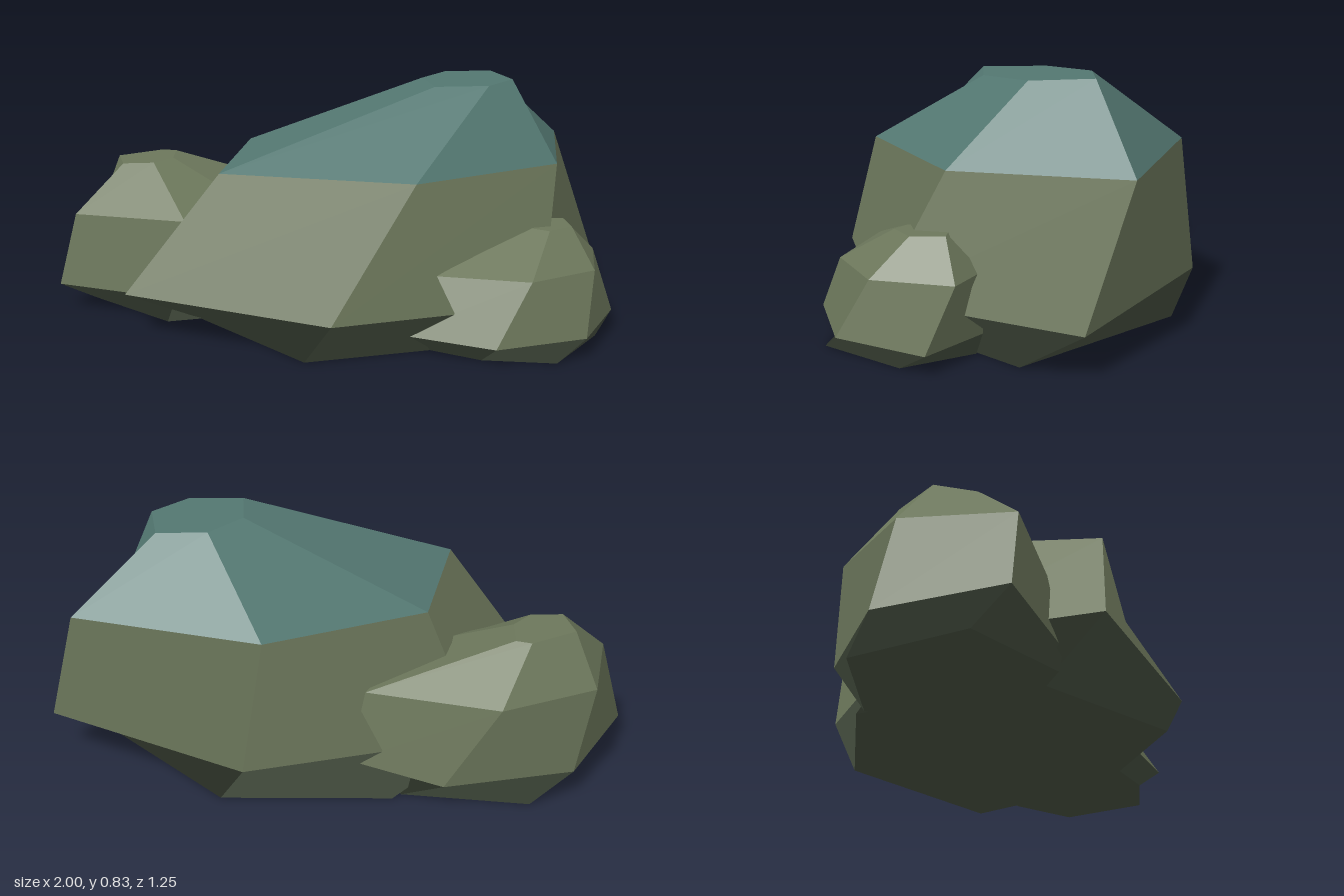
import * as THREE from 'three';

// Faceted rock from stacked rings, bottom to top: [y, [[x, z], ...]].
// slots gives the material index of each band; the base takes the first, the top the last.
function rock(name, rings, materials, slots) {
  const pts = rings.map(([y, ring]) => ring.map(([x, z]) => new THREE.Vector3(x, y, z)));
  const n = pts[0].length;
  const position = [], normal = [];
  const geo = new THREE.BufferGeometry();

  // One flat facet: all its triangles share one normal
  const facet = (slot, dir, corners) => {
    geo.addGroup(position.length / 3, corners.length, slot);
    corners.forEach(p => { position.push(p.x, p.y, p.z); normal.push(dir.x, dir.y, dir.z); });
  };

  // Side bands, one four-sided facet per step
  slots.forEach((slot, r) => {
    for (let i = 0; i < n; i++) {
      const j = (i + 1) % n;
      const a = pts[r][i], b = pts[r][j], c = pts[r + 1][j], d = pts[r + 1][i];
      const dir = c.clone().sub(a).cross(d.clone().sub(b)).normalize();
      facet(slot, dir, [a, b, c, a, c, d]);
    }
  });

  // Flat base and flat top
  const base = pts[0], top = pts[pts.length - 1];
  for (let i = 1; i < n - 1; i++) {
    facet(slots[0], new THREE.Vector3(0, -1, 0), [base[0], base[i + 1], base[i]]);
    facet(slots[slots.length - 1], new THREE.Vector3(0, 1, 0), [top[0], top[i], top[i + 1]]);
  }

  geo.setAttribute('position', new THREE.Float32BufferAttribute(position, 3));
  geo.setAttribute('normal', new THREE.Float32BufferAttribute(normal, 3));
  const mesh = new THREE.Mesh(geo, materials);
  mesh.name = name;
  return mesh;
}

export function createModel() {
  const material = (name, color) => {
    const m = new THREE.MeshStandardMaterial({ color });
    m.name = name;
    return m;
  };
  const materials = [
    material('dark foot stone', 0x485242),
    material('mossy stone', 0x6c775b),
    material('teal cap', 0x537771),
  ];

  const model = new THREE.Group();
  model.name = 'rockCluster';

  // Large boulder: dark foot, green sides, teal cap
  model.add(rock('mainBoulder', [
    [0, [[-0.5, 0.02], [-0.16, 0.5], [0.45, 0.4], [0.86, -0.01], [0.4, -0.53], [-0.17, -0.545]]],
    [0.145, [[-0.75, 0.17], [-0.08, 0.58], [0.65, 0.43], [1, -0.195], [0.32, -0.61], [-0.47, -0.4]]],
    [0.58, [[-0.42, 0.24], [0.21, 0.46], [0.74, 0.21], [0.88, -0.35], [0.25, -0.57], [-0.29, -0.33]]],
    [0.835, [[0.33, 0.095], [0.52, 0.095], [0.635, -0.04], [0.6, -0.25], [0.43, -0.25], [0.32, -0.11]]],
  ], materials, [0, 1, 2]));

  // Medium rock, back right
  model.add(rock('backRock', [
    [0, [[-0.88, -0.25], [-0.61, 0.05], [-0.3, 0], [-0.1, -0.3], [-0.2, -0.52], [-0.62, -0.59]]],
    [0.09, [[-1, -0.15], [-0.58, 0.07], [-0.25, -0.02], [-0.03, -0.45], [-0.33, -0.625], [-0.77, -0.535]]],
    [0.36, [[-0.93, -0.12], [-0.54, 0.03], [-0.27, -0.1], [-0.08, -0.475], [-0.51, -0.615], [-0.84, -0.47]]],
    [0.52, [[-0.76, -0.22], [-0.65, -0.22], [-0.58, -0.3], [-0.57, -0.43], [-0.62, -0.45], [-0.78, -0.36]]],
  ], materials, [0, 1, 1]));

  // Small rock, front left
  model.add(rock('frontRock', [
    [0, [[0.2, 0.38], [0.42, 0.54], [0.66, 0.595], [0.86, 0.35], [0.74, 0.12], [0.45, 0.12]]],
    [0.065, [[0.16, 0.45], [0.45, 0.625], [0.77, 0.55], [0.94, 0.27], [0.74, 0.1], [0.45, 0.12]]],
    [0.265, [[0.27, 0.445], [0.58, 0.55], [0.82, 0.44], [0.89, 0.18], [0.74, 0.1], [0.42, 0.15]]],
    [0.385, [[0.63, 0.33], [0.68, 0.37], [0.77, 0.32], [0.77, 0.21], [0.7, 0.2], [0.64, 0.25]]],
  ], materials, [0, 1, 1]));

  return model;
}
